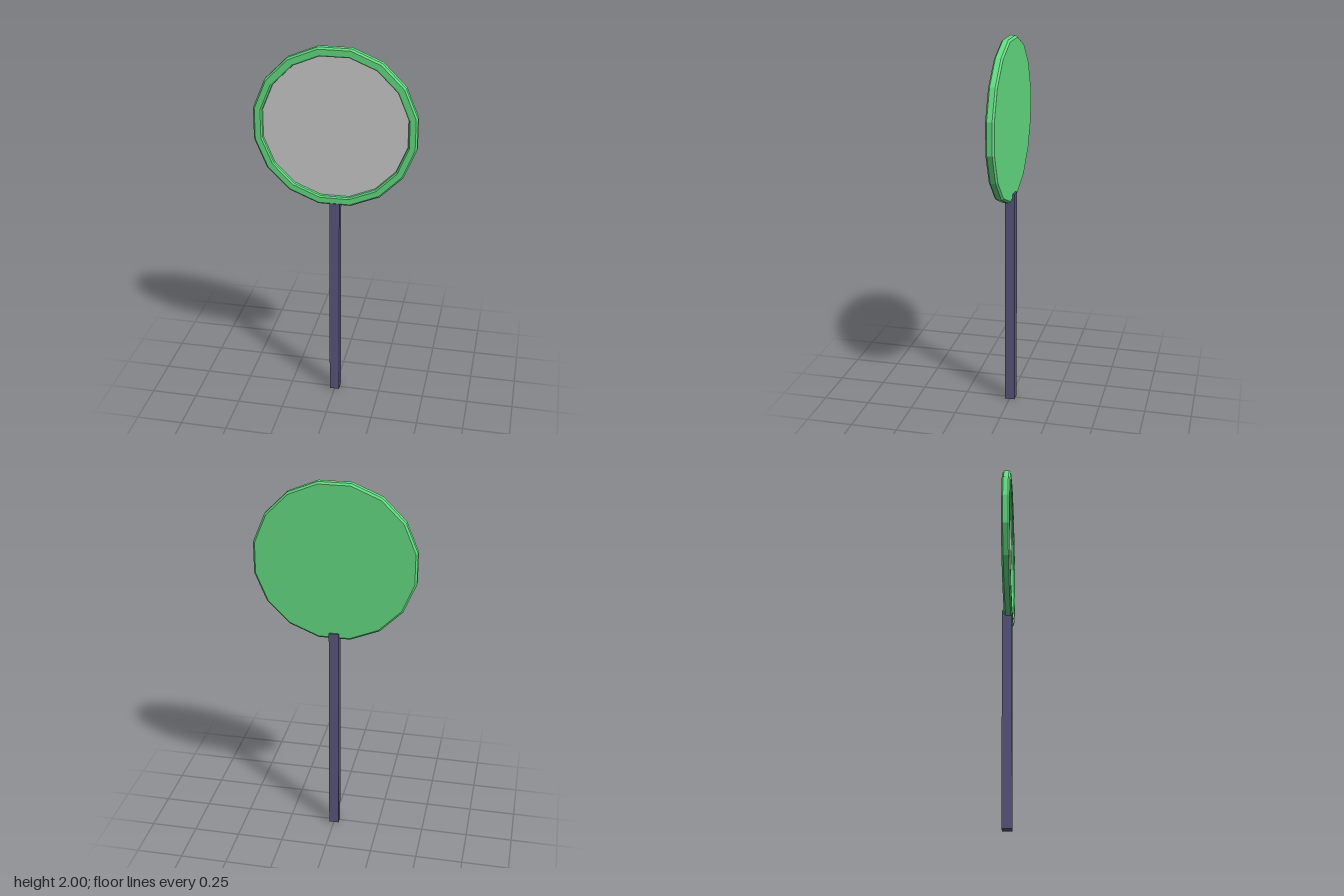
import * as THREE from 'three';

const SIDES = 16;
const HALF_STEP = Math.PI / SIDES; // turns a flat side to the top

const paint = (color) => new THREE.MeshStandardMaterial({ color, flatShading: true });

function addMesh(parent, name, geometry, color, x, y, z) {
  const mesh = new THREE.Mesh(geometry, paint(color));
  mesh.name = name;
  mesh.position.set(x, y, z);
  parent.add(mesh);
  return mesh;
}

export function createModel() {
  const model = new THREE.Group();
  model.name = 'roundSignOnPost';

  // Square post, reaching a little way up behind the frame
  const postHeight = 1.19;
  addMesh(model, 'post', new THREE.BoxGeometry(0.053, postHeight, 0.053), 0x58587e,
    0, postHeight / 2, -0.0025);

  // Round head: the origin is its centre
  const head = new THREE.Group();
  head.name = 'head';
  head.position.y = 1.579;
  model.add(head);

  // Frame: closed back, chamfered rim and recessed inner wall (radius, depth)
  const profile = [
    [0, -0.018], [0.419, -0.018], [0.4293, -0.009], [0.4293, 0.018], [0.42, 0.027],
    [0.39, 0.027], [0.382, 0.021], [0.38, 0.006],
  ].map(([r, d]) => new THREE.Vector2(r, d));
  const frame = new THREE.LatheGeometry(profile, SIDES, HALF_STEP);
  frame.rotateX(Math.PI / 2);
  addMesh(head, 'frame', frame, 0x64dc82, 0, 0, 0);

  // Grey panel set into the frame
  addMesh(head, 'panel', new THREE.CircleGeometry(0.381, SIDES, HALF_STEP), 0xcccccc,
    0, 0, 0.008);

  return model;
}
